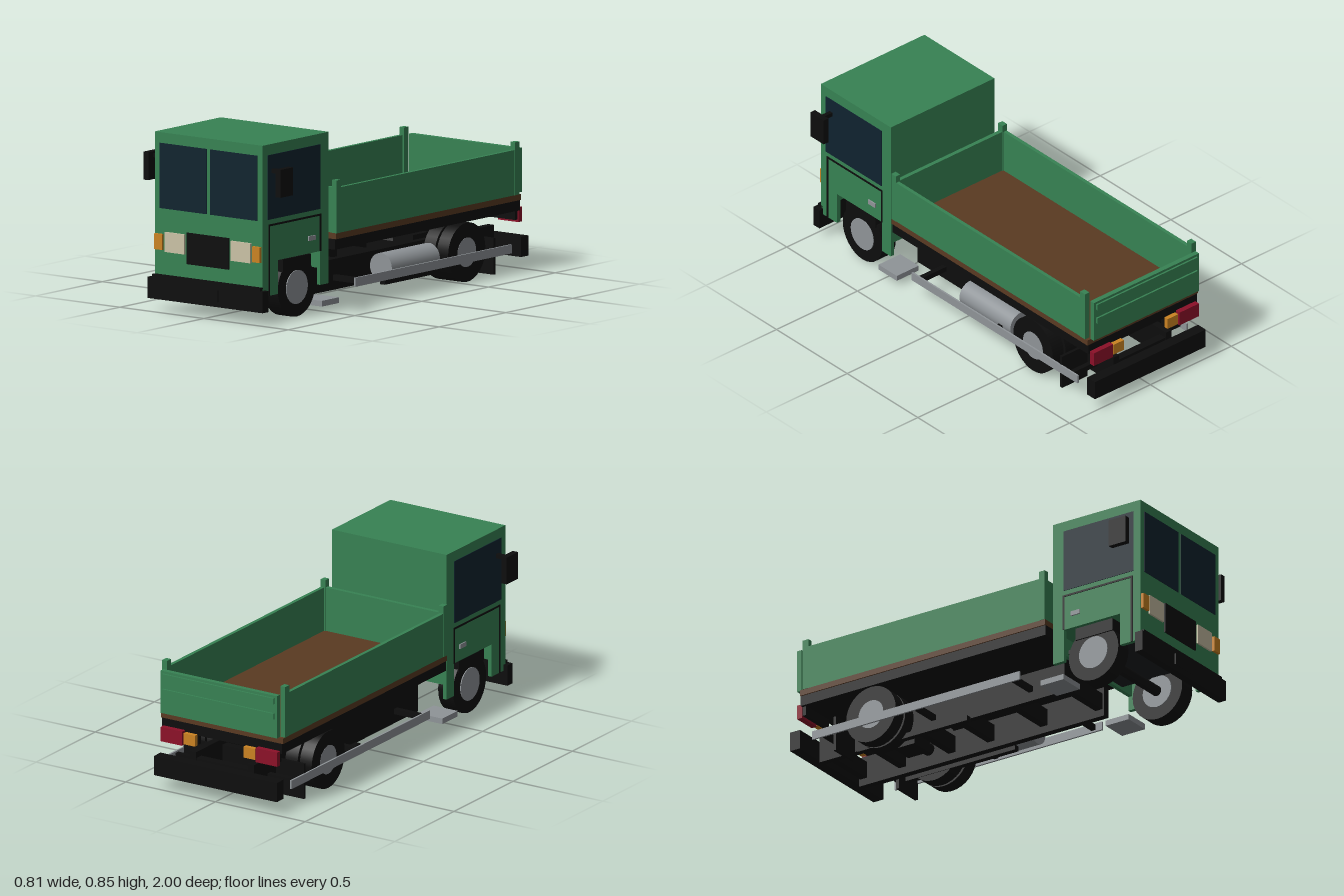
import * as THREE from 'three';

const mat = (name, color) => {
  const m = new THREE.MeshStandardMaterial({ color });
  m.name = name;
  return m;
};

export function createModel() {
  const green = mat('green paint', 0x378253);
  const black = mat('black', 0x0d0d0d);
  const brown = mat('brown boards', 0x5a3a22);
  const glass = mat('dark glass', 0x0f232f);
  const grey = mat('grey metal', 0x8f9498);
  const cream = mat('headlight cream', 0xcac2a6);
  const orange = mat('indicator orange', 0xcb8322);
  const red = mat('tail light red', 0x8c1028);
  const charcoal = mat('charcoal floor', 0x1d1f22);

  const model = new THREE.Group();
  model.name = 'flatbedTruck';

  const add = (name, geometry, material) => {
    const mesh = new THREE.Mesh(geometry, material);
    mesh.name = name;
    model.add(mesh);
    return mesh;
  };
  // Box given by its limits on each axis
  const box = (name, m, x0, x1, y0, y1, z0, z1) => {
    const mesh = add(name, new THREE.BoxGeometry(x1 - x0, y1 - y0, z1 - z0), m);
    mesh.position.set((x0 + x1) / 2, (y0 + y1) / 2, (z0 + z1) / 2);
    return mesh;
  };
  // The same box on both sides
  const pair = (name, m, x0, x1, ...rest) => {
    box(name + 'Left', m, x0, x1, ...rest);
    box(name + 'Right', m, -x1, -x0, ...rest);
  };
  // Cylinder lying along x
  const axleCylinder = (name, m, r, x0, x1, y, z, sides = 32) => {
    const g = new THREE.CylinderGeometry(r, r, x1 - x0, sides).rotateZ(Math.PI / 2);
    add(name, g, m).position.set((x0 + x1) / 2, y, z);
  };

  // Cab: solid upper body, with thin walls hanging around the wheels
  box('cabBody', green, -0.32, 0.32, 0.29, 0.845, 0.47, 0.965);
  box('cabFrontSkirt', green, -0.30, 0.30, 0.175, 0.29, 0.935, 0.965);
  pair('cabFrontCorner', green, 0.30, 0.32, 0.13, 0.29, 0.85, 0.965);
  pair('cabRearCorner', green, 0.30, 0.32, 0.13, 0.29, 0.47, 0.533);
  box('cabRearSkirt', green, -0.30, 0.30, 0.2, 0.29, 0.47, 0.49);
  box('cabFloor', charcoal, -0.22, 0.22, 0.215, 0.235, 0.49, 0.935);
  pair('frontMudguard', black, 0.2, 0.31, 0.225, 0.285, 0.59, 0.80);

  // Glass, door seams and handles
  pair('windscreen', glass, 0.01, 0.29, 0.487, 0.795, 0.963, 0.968);
  pair('sideWindow', glass, 0.318, 0.323, 0.49, 0.795, 0.533, 0.927);
  pair('doorSeamTop', black, 0.318, 0.323, 0.458, 0.467, 0.528, 0.922);
  pair('doorSeamFront', black, 0.318, 0.323, 0.13, 0.458, 0.912, 0.922);
  pair('doorSeamRear', black, 0.318, 0.323, 0.29, 0.458, 0.528, 0.537);
  pair('doorHandle', grey, 0.318, 0.327, 0.35, 0.372, 0.575, 0.625);

  // Mirrors
  pair('mirrorArm', black, 0.318, 0.38, 0.708, 0.728, 0.88, 0.9);
  pair('mirror', black, 0.378, 0.407, 0.605, 0.737, 0.845, 0.94);

  // Front lights, grille and bumper
  box('grille', black, -0.125, 0.125, 0.24, 0.388, 0.955, 0.973);
  pair('headlight', cream, 0.139, 0.254, 0.284, 0.378, 0.955, 0.975);
  pair('frontIndicator', orange, 0.267, 0.314, 0.292, 0.366, 0.955, 0.979);
  box('frontBumper', black, -0.342, 0.342, 0.06, 0.16, 0.95, 0.992);
  box('bumperTop', black, -0.32, 0.32, 0.16, 0.175, 0.95, 0.985);
  box('bumperPlate', black, -0.08, 0.08, 0.085, 0.14, 0.985, 1.0);

  // Wheels: narrow single fronts, wide twin rears
  const R = 0.14, frontZ = 0.689, rearZ = -0.55;
  for (const s of [1, -1]) {
    const side = s > 0 ? 'Left' : 'Right';
    const cyl = (name, m, r, a, b, z) =>
      axleCylinder(name + side, m, r, s > 0 ? a : -b, s > 0 ? b : -a, R, z);
    cyl('frontTyre', black, R, 0.22, 0.303, frontZ);
    cyl('frontRim', grey, 0.08, 0.215, 0.307, frontZ);
    cyl('rearInnerTyre', black, R, 0.185, 0.253, rearZ);
    cyl('rearOuterTyre', black, R, 0.265, 0.332, rearZ);
    cyl('rearHub', black, 0.08, 0.25, 0.27, rearZ);
    cyl('rearRim', grey, 0.07, 0.3, 0.3325, rearZ);
  }
  axleCylinder('frontAxle', black, 0.025, -0.22, 0.22, R, frontZ, 16);
  axleCylinder('rearAxle', black, 0.03, -0.19, 0.19, R, rearZ, 16);
  box('differential', black, -0.06, 0.06, 0.08, 0.2, -0.61, -0.49);

  // Chassis ladder frame
  pair('chassisRail', black, 0.145, 0.18, 0.055, 0.2, -0.945, 0.44);
  [0.41, 0.1, -0.2, -0.42, -0.7, -0.92].forEach((z, i) =>
    box('crossMember' + i, black, -0.145, 0.145, 0.09, 0.17, z - 0.02, z + 0.02));
  pair('rearSpring', black, 0.182, 0.21, 0.035, 0.06, -0.71, -0.09);
  pair('mudflap', black, 0.18, 0.335, 0.008, 0.18, -0.76, -0.745);

  // Steps, side guards and tank
  pair('step', grey, 0.2, 0.335, 0.03, 0.057, 0.41, 0.54);
  pair('sideGuard', grey, 0.333, 0.342, 0.092, 0.134, -0.875, 0.297);
  for (const z of [0.25, -0.3, -0.82])
    pair('guardBracket', black, 0.18, 0.334, 0.1, 0.126, z - 0.012, z + 0.012);
  add('airTank', new THREE.CylinderGeometry(0.065, 0.065, 0.36, 32).rotateX(Math.PI / 2), grey)
    .position.set(0.25, 0.135, -0.19);

  // Load bed
  box('bedFrame', black, -0.335, 0.335, 0.285, 0.335, -0.945, 0.44);
  box('bedFloor', brown, -0.341, 0.341, 0.335, 0.363, -0.945, 0.44);
  pair('bedSide', green, 0.323, 0.341, 0.363, 0.577, -0.93, 0.43);
  box('headboard', green, -0.325, 0.325, 0.363, 0.577, 0.412, 0.432);
  pair('frontPost', green, 0.316, 0.343, 0.363, 0.613, 0.408, 0.44);
  pair('rearPost', green, 0.316, 0.343, 0.363, 0.613, -0.93, -0.896);

  // Tailgate with two ribs
  box('tailgate', green, -0.325, 0.325, 0.368, 0.577, -0.972, -0.947);
  for (const y of [0.475, 0.55])
    box('tailgateRib', green, -0.31, 0.31, y - 0.015, y + 0.015, -0.981, -0.97);

  // Rear lights and bumper
  pair('tailLightMount', black, 0.13, 0.32, 0.24, 0.287, -0.947, -0.925);
  pair('tailLight', red, 0.205, 0.325, 0.228, 0.298, -0.972, -0.945);
  pair('rearIndicator', orange, 0.135, 0.2, 0.236, 0.29, -0.968, -0.945);
  box('rearBumper', black, -0.342, 0.342, 0.065, 0.16, -1.0, -0.945);

  return model;
}
